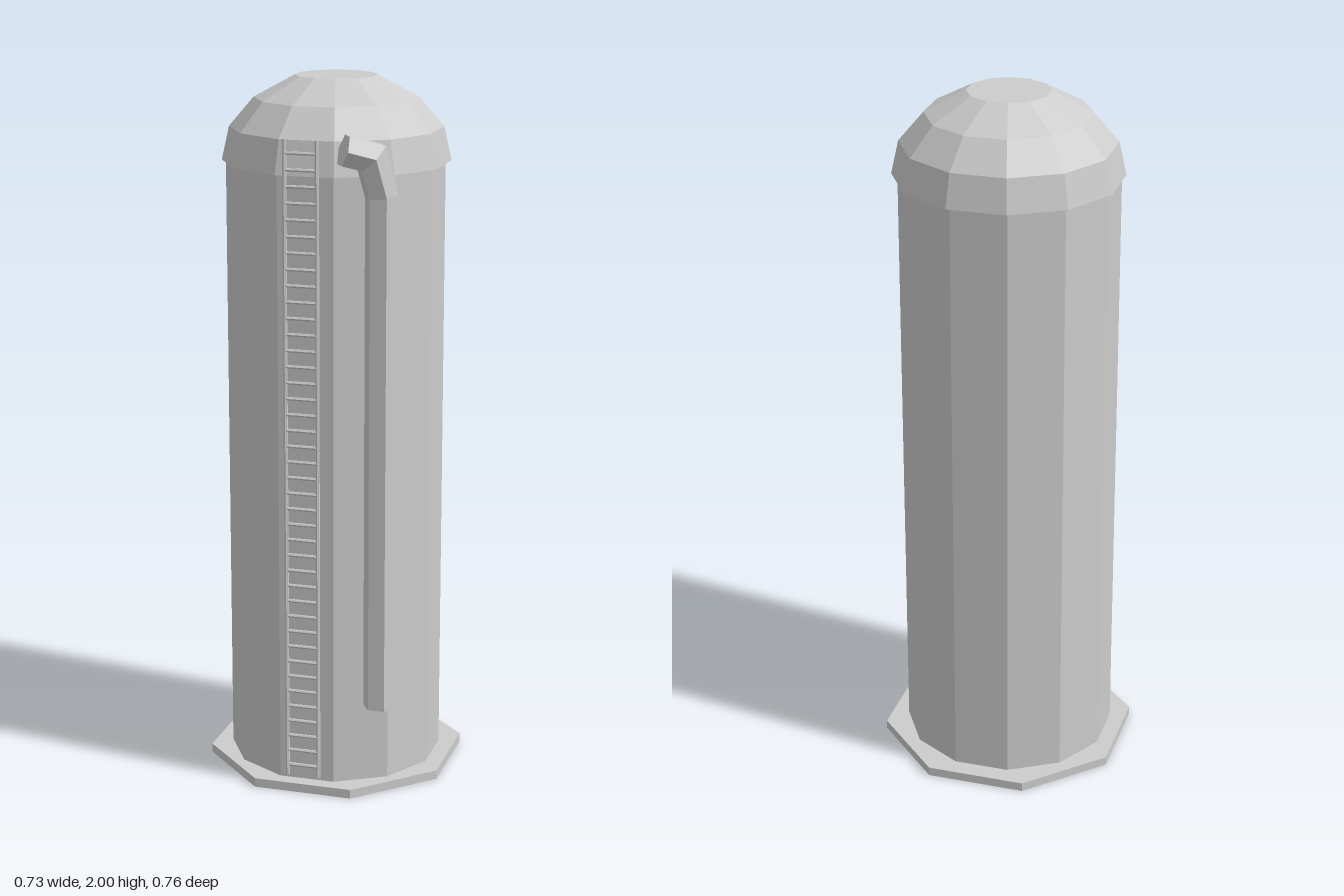
import * as THREE from 'three';

const deg = THREE.MathUtils.degToRad;

// Hexagonal duct swept along a path in the xy plane, with mitred bends and closed ends
function hexDuct(path, radius) {
  const dirs = path.slice(1).map((p, i) => p.clone().sub(path[i]).normalize());
  const rings = path.map((p, i) => {
    const a = dirs[Math.max(i - 1, 0)];
    const b = dirs[Math.min(i, dirs.length - 1)];
    const d = a.clone().add(b).normalize();
    const stretch = 1 / d.dot(a);
    return Array.from({ length: 6 }, (_, k) => {
      const t = deg(30 + 60 * k);
      const c = Math.cos(t) * radius * stretch;
      return [p.x - d.y * c, p.y + d.x * c, Math.sin(t) * radius];
    });
  });
  const pos = [];
  const tri = (...pts) => pts.forEach((p) => pos.push(...p));
  for (let i = 0; i < rings.length - 1; i++) {
    for (let j = 0; j < 6; j++) {
      const k = (j + 1) % 6;
      tri(rings[i][j], rings[i][k], rings[i + 1][k]);
      tri(rings[i][j], rings[i + 1][k], rings[i + 1][j]);
    }
  }
  const first = rings[0], last = rings[rings.length - 1];
  for (let j = 1; j < 5; j++) {
    tri(first[0], first[j + 1], first[j]);
    tri(last[0], last[j], last[j + 1]);
  }
  const geo = new THREE.BufferGeometry();
  geo.setAttribute('position', new THREE.Float32BufferAttribute(pos, 3));
  geo.computeVertexNormals();
  return geo;
}

export function createModel() {
  const model = new THREE.Group();
  model.name = 'silo';
  const grey = new THREE.MeshStandardMaterial({ color: 0xcccccc, flatShading: true });
  grey.name = 'light grey metal';

  const add = (name, geo, x, y, z, turn = 0, parent = model) => {
    const mesh = new THREE.Mesh(geo, grey);
    mesh.name = name;
    mesh.position.set(x, y, z);
    mesh.rotation.y = deg(turn);
    parent.add(mesh);
    return mesh;
  };

  // Octagonal foundation slab
  add('base', new THREE.CylinderGeometry(0.371, 0.371, 0.026, 8), 0, 0.013, -0.0245, 35.6);

  // Twelve-sided tank
  add('tank', new THREE.CylinderGeometry(0.306, 0.306, 1.755, 12), -0.004, 0.9, -0.019, 13.5);

  // Faceted dome with a slight overhang
  const profile = [[0.28, 1.763], [0.32, 1.763], [0.299, 1.857], [0.23, 1.938], [0.115, 2], [0, 2]];
  add('dome', new THREE.LatheGeometry(profile.map((p) => new THREE.Vector2(...p)), 12), 0, 0, -0.0245, 13.5);

  // Filling chute that bends over near the top
  const path = [[0.03, 0.264], [0.03, 1.715], [0.001, 1.82], [-0.076, 1.842]];
  add('chute', hexDuct(path.map((p) => new THREE.Vector2(...p)), 0.0462), 0, 0, 0.321);

  // Ladder standing off one facet of the tank
  const ladder = new THREE.Group();
  ladder.name = 'ladder';
  ladder.position.set(-0.171, 0, 0.2365);
  ladder.rotation.y = deg(-31.5);
  model.add(ladder);
  const rail = new THREE.CylinderGeometry(0.006, 0.006, 1.825, 6);
  const bracket = new THREE.CylinderGeometry(0.004, 0.004, 0.022, 6).rotateX(Math.PI / 2);
  for (const side of [-1, 1]) {
    add('ladderRail', rail, side * 0.0455, 0.95, 0, 0, ladder);
    for (const y of [0.23, 0.69, 0.997, 1.305, 1.614]) {
      add('ladderBracket', bracket, side * 0.0455, y, -0.011, 0, ladder);
    }
  }
  const rung = new THREE.CylinderGeometry(0.005, 0.005, 0.091, 6).rotateZ(Math.PI / 2);
  const rungs = 40;
  for (let i = 0; i < rungs; i++) {
    add('ladderRung', rung, 0, 0.07 + (1.755 * i) / (rungs - 1), 0, 0, ladder);
  }

  return model;
}
